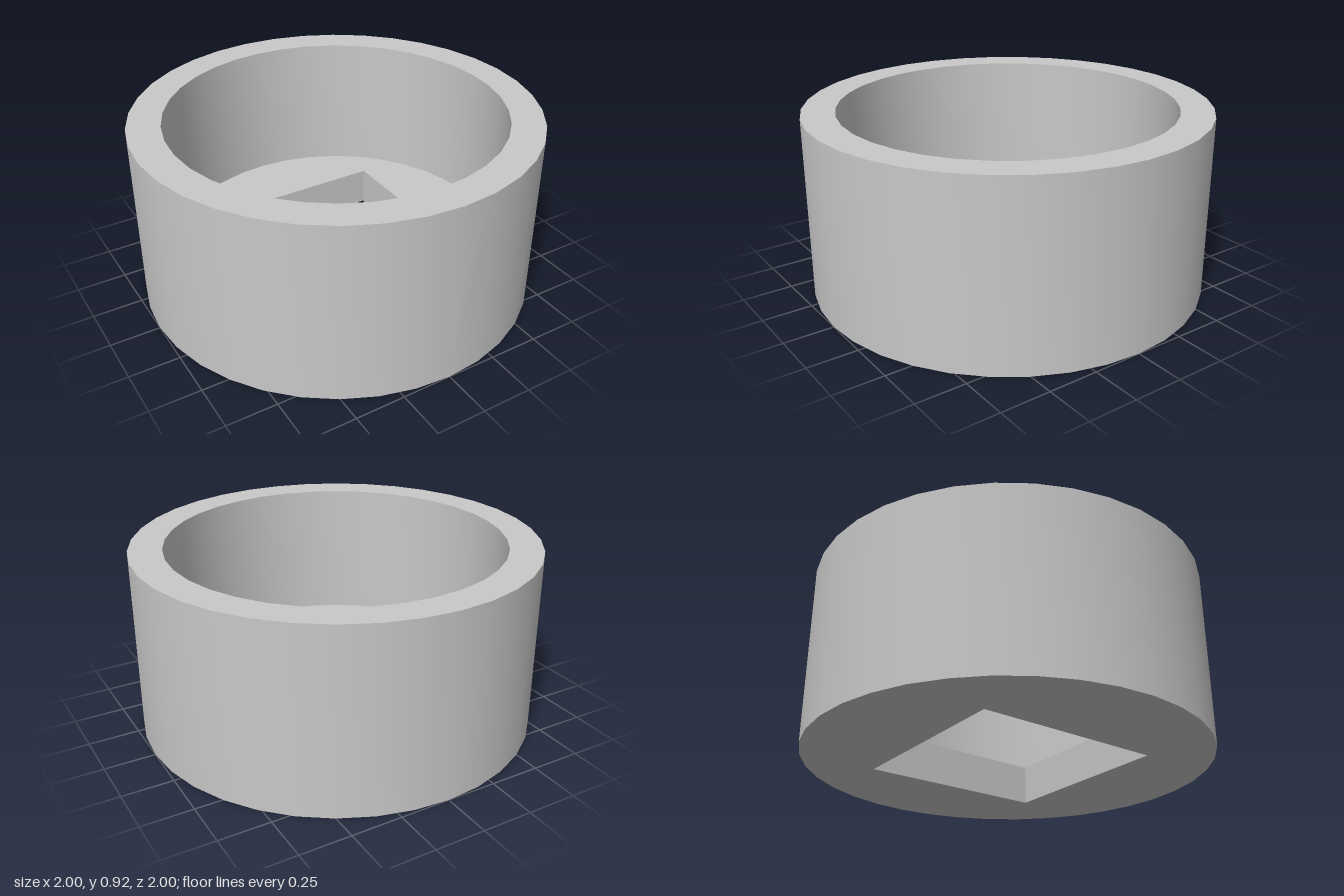
import * as THREE from 'three';
import { toCreasedNormals } from 'three/addons/utils/BufferGeometryUtils.js';

const SIDES = 36;
const OUTER = 1, INNER = 0.836;      // cup radii
const HEIGHT = 0.915, FLOOR = 0.205; // cup height, floor thickness
const HOLE = 0.477;                  // half width of the square opening

// Revolved surface with smooth walls and sharp edges
function revolve(profile, sides, start = 0) {
  const points = profile.map(([r, y]) => new THREE.Vector2(r, y));
  return toCreasedNormals(new THREE.LatheGeometry(points, sides, start), Math.PI / 4);
}

// Flat disc with a square opening, facing up (dir = 1) or down (dir = -1)
function piercedDisc(radius, y, dir) {
  const rim = [];
  for (let i = 0; i < SIDES; i++) {
    const a = (i / SIDES) * Math.PI * 2;
    rim.push(new THREE.Vector2(Math.cos(a) * radius, Math.sin(a) * radius));
  }
  const shape = new THREE.Shape(rim);
  const corners = [[-1, -1], [-1, 1], [1, 1], [1, -1]];
  shape.holes.push(new THREE.Path(corners.map(([x, z]) => new THREE.Vector2(x * HOLE, z * HOLE))));
  return new THREE.ShapeGeometry(shape).rotateX(-dir * Math.PI / 2).translate(0, y, 0);
}

export function createModel() {
  const group = new THREE.Group();
  const grey = new THREE.MeshStandardMaterial({ color: 0xc8c8c8 });
  grey.name = 'grey';

  const add = (name, geometry) => {
    const mesh = new THREE.Mesh(geometry, grey);
    mesh.name = name;
    group.add(mesh);
  };

  // Outer wall, top rim and inner wall
  add('wall', revolve([[OUTER, 0], [OUTER, HEIGHT], [INNER, HEIGHT], [INNER, FLOOR]], SIDES));

  // Floor inside the cup and the underside
  add('floor', piercedDisc(INNER, FLOOR, 1));
  add('underside', piercedDisc(OUTER, 0, -1));

  // Four inward-facing sides of the square opening
  const r = HOLE * Math.SQRT2;
  add('squareOpening', revolve([[r, FLOOR], [r, 0]], 4, Math.PI / 4));

  return group;
}
